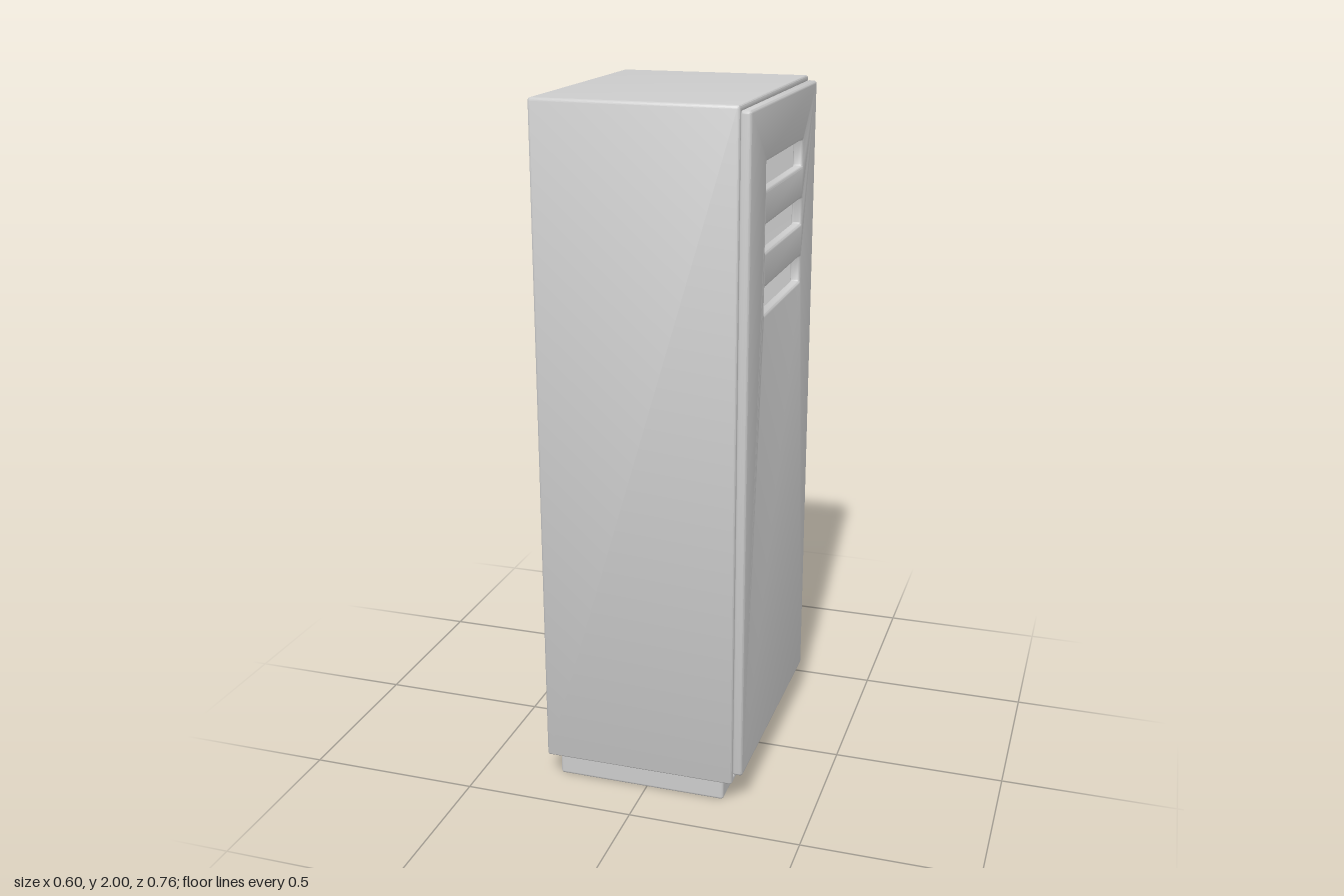
import * as THREE from 'three';
import { toCreasedNormals } from 'three/addons/utils/BufferGeometryUtils.js';
import { RoundedBoxGeometry } from 'three/addons/geometries/RoundedBoxGeometry.js';

const material = new THREE.MeshStandardMaterial({ color: 0xcccccc });

// Rounded rectangle centred on x = 0, between heights y0 and y1
function roundedRect(target, width, y0, y1, r) {
  const h = width / 2;
  target.absarc(h - r, y1 - r, r, 0, Math.PI / 2);
  target.absarc(-h + r, y1 - r, r, Math.PI / 2, Math.PI);
  target.absarc(-h + r, y0 + r, r, Math.PI, Math.PI * 1.5);
  target.absarc(h - r, y0 + r, r, Math.PI * 1.5, Math.PI * 2);
  target.closePath();
  return target;
}

// Bevelled slab spanning x0..x1, its outline lying in the z-y plane
function slab(shape, x0, x1, bevel) {
  const geometry = new THREE.ExtrudeGeometry(shape, {
    depth: x1 - x0 - 2 * bevel,
    bevelThickness: bevel, bevelSize: bevel, bevelOffset: -bevel,
    bevelSegments: 3, curveSegments: 4,
  });
  geometry.translate(0, 0, x0 + bevel);
  geometry.rotateY(Math.PI / 2);
  return toCreasedNormals(geometry, 0.6);
}

export function createModel() {
  const model = new THREE.Group();
  model.name = 'locker';
  const add = (name, geometry) => {
    const mesh = new THREE.Mesh(geometry, material);
    mesh.name = name;
    model.add(mesh);
    return mesh;
  };

  // Hollow cabinet: four walls around an open interior
  const wall = 0.02, bevel = 0.007, depth = 0.76, bottom = 0.075, top = 2;
  const frame = roundedRect(new THREE.Shape(), depth, bottom, top, 0.009);
  frame.holes.push(roundedRect(new THREE.Path(), depth - 2 * wall, bottom + wall, top - wall, 0.004));
  add('cabinetWalls', slab(frame, -0.298, 0.27, bevel));

  // Panel closing the cabinet opposite the door
  const inset = 2 * (wall - bevel);
  const panel = add('rearPanel', new THREE.BoxGeometry(wall, top - bottom - inset, depth - inset));
  panel.position.set(-0.298 + wall / 2, (top + bottom) / 2, 0);

  // Door with three ventilation slots
  const door = roundedRect(new THREE.Shape(), 0.742, 0.102, 1.987, 0.011);
  for (const y of [1.8, 1.633, 1.463]) {
    door.holes.push(roundedRect(new THREE.Path(), 0.415, y - 0.037, y + 0.037, 0.004));
  }
  add('door', slab(door, 0.268, 0.298, 0.008));

  // Two runner feet
  for (const side of [1, -1]) {
    const foot = add(side > 0 ? 'frontFoot' : 'backFoot', new RoundedBoxGeometry(0.505, 0.08, 0.123, 3, 0.009));
    foot.position.set(-0.017, 0.04, side * 0.286);
  }

  return model;
}
